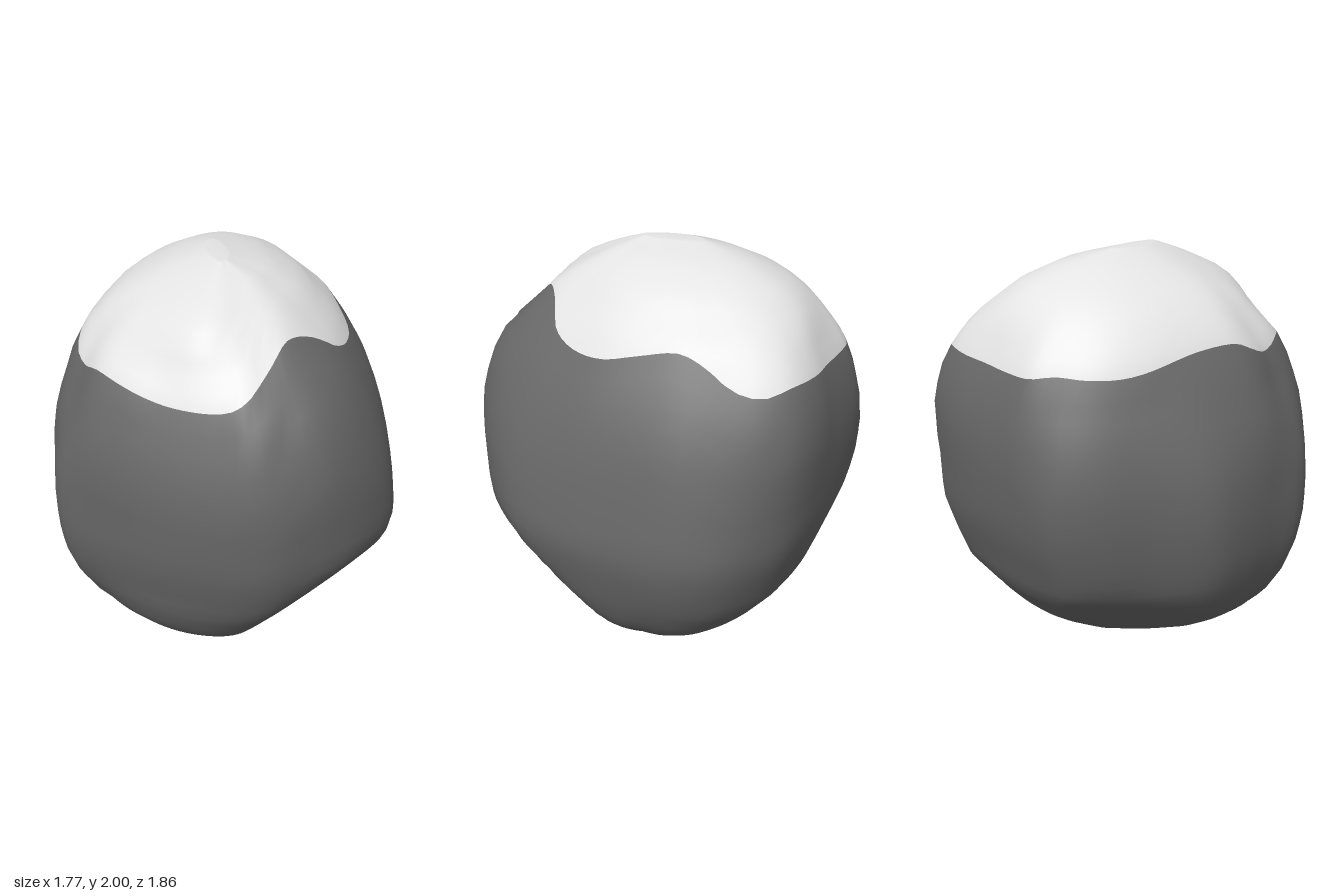
import * as THREE from 'three';

const COLS = 96, ROCK_ROWS = 26, CAP_ROWS = 12;

// Widest plan outline of the boulder: x, z
const girth = [
  [-0.2, -0.94], [-0.28, -0.93], [-0.42, -0.84], [-0.57, -0.67], [-0.78, -0.42], [-0.83, -0.24], [-0.86, 0],
  [-0.88, 0.2], [-0.82, 0.3], [-0.6, 0.56], [-0.42, 0.72], [-0.15, 0.89], [0, 0.93], [0.1, 0.92],
  [0.3, 0.87], [0.49, 0.77], [0.65, 0.62], [0.72, 0.49], [0.78, 0.32], [0.82, 0.16], [0.85, -0.02],
  [0.88, -0.22], [0.87, -0.36], [0.83, -0.49], [0.75, -0.61], [0.59, -0.75], [0.2, -0.88],
];

// Wavy lower edge of the pale cap: x, z, y
const capEdge = [
  [-0.1, -0.84, 1.54], [0.05, -0.82, 1.54], [0.2, -0.79, 1.55], [0.37, -0.76, 1.56], [0.53, -0.68, 1.565],
  [0.61, -0.57, 1.535], [0.62, -0.45, 1.56], [0.59, -0.32, 1.64], [0.57, -0.2, 1.685], [0.57, 0, 1.65],
  [0.56, 0.15, 1.615], [0.5, 0.3, 1.615], [0.4, 0.42, 1.66], [0.25, 0.48, 1.75], [0.12, 0.55, 1.77],
  [0, 0.67, 1.67], [-0.1, 0.73, 1.6], [-0.2, 0.71, 1.55], [-0.4, 0.58, 1.54], [-0.57, 0.42, 1.58],
  [-0.66, 0.27, 1.6], [-0.7, 0.1, 1.56], [-0.715, 0, 1.585], [-0.69, -0.1, 1.63], [-0.6, -0.3, 1.625],
  [-0.45, -0.6, 1.55], [-0.33, -0.72, 1.545], [-0.2, -0.79, 1.555],
];

// Blunt outline of the summit, scaled to -1..1: x, z
const crown = [
  [1, -0.3], [0.85, -0.75], [0.5, -1], [0, -1], [-0.45, -0.8], [-0.8, -0.45], [-1, 0], [-0.9, 0.4],
  [-0.45, 0.98], [0, 1], [0.35, 0.95], [0.65, 0.7], [0.88, 0.43], [1, 0.1],
];

// Extents at each height: y, xMin, xMax, zMin, zMax
const extents = [
  [0, -0.03, 0.2, -0.05, 0.18], [0.02, -0.22, 0.32, -0.15, 0.26], [0.11, -0.45, 0.48, -0.37, 0.43],
  [0.2, -0.59, 0.62, -0.52, 0.61], [0.3, -0.71, 0.71, -0.64, 0.69], [0.46, -0.805, 0.8, -0.78, 0.81],
  [0.62, -0.86, 0.855, -0.84, 0.875], [0.77, -0.88, 0.885, -0.89, 0.92], [0.9, -0.885, 0.87, -0.915, 0.93],
  [1.1, -0.875, 0.835, -0.935, 0.94], [1.28, -0.835, 0.79, -0.925, 0.91], [1.45, -0.765, 0.72, -0.88, 0.84],
  [1.57, -0.72, 0.65, -0.83, 0.77], [1.7, -0.63, 0.56, -0.74, 0.62], [1.8, -0.53, 0.44, -0.65, 0.53],
  [1.87, -0.42, 0.36, -0.55, 0.43], [1.95, -0.24, 0.2, -0.37, 0.27], [2, -0.09, 0, -0.15, 0.13],
];

// Broad worn chips on the underside: unit normal and distance from (0, 1, 0)
const chips = [
  { normal: new THREE.Vector3(0.42, -0.65, 0.64).normalize(), distance: 0.865 },
  { normal: new THREE.Vector3(-0.4, -0.75, -0.5).normalize(), distance: 0.9 },
];
const CHIP_SOFTNESS = 0.04;

const { lerp, smoothstep, clamp } = THREE.MathUtils;

function extentsAt(y) {
  let i = 1;
  while (i < extents.length - 1 && extents[i][0] < y) i++;
  const a = extents[i - 1], b = extents[i];
  const t = clamp((y - a[0]) / (b[0] - a[0]), 0, 1);
  return a.map((value, k) => lerp(value, b[k], t));
}

// Plan position scaled so that the extents become -1 to 1
function normalise(x, z, y, [x0, x1, z0, z1]) {
  const scale = (value, lo, hi) => clamp((2 * (value - lo)) / (hi - lo) - 1, -1, 1);
  return new THREE.Vector3(scale(x, x0, x1), y, scale(z, z0, z1));
}

// Smooth closed outline, resampled at even angles about the vertical axis
function resample(points) {
  const full = Math.PI * 2;
  const wrap = (a) => ((a % full) + full) % full;
  const polar = new THREE.CatmullRomCurve3(points, true).getPoints(400).slice(0, -1)
    .map((p) => ({ a: wrap(Math.atan2(p.z, p.x)), r: Math.hypot(p.x, p.z), y: p.y }))
    .sort((p, q) => p.a - q.a);
  return Array.from({ length: COLS }, (_, col) => {
    const angle = (col / COLS) * full;
    const next = Math.max(0, polar.findIndex((p) => p.a > angle));
    const p = polar[(next + polar.length - 1) % polar.length], q = polar[next];
    const t = wrap(angle - p.a) / Math.max(wrap(q.a - p.a), 1e-6);
    const r = lerp(p.r, q.r, t);
    return new THREE.Vector3(r * Math.cos(angle), lerp(p.y, q.y, t), r * Math.sin(angle));
  });
}

function createBoulderGeometry() {
  const middle = resample(girth.map(([x, z]) => normalise(x, z, 1, [-0.88, 0.88, -0.94, 0.93])));
  const upper = resample(capEdge.map(([x, z, y]) => normalise(x, z, y, extentsAt(y).slice(1))));
  const summit = resample(crown.map(([x, z]) => new THREE.Vector3(x, 0, z)));
  const positions = [], rockFaces = [], capFaces = [];
  const rows = ROCK_ROWS + CAP_ROWS;

  for (let row = 0; row <= rows; row++) {
    for (let col = 0; col < COLS; col++) {
      const edge = upper[col].y;
      const y = row <= ROCK_ROWS
        ? edge * (1 - Math.cos((row / ROCK_ROWS) * Math.PI / 2))
        : edge + (2 - edge) * Math.sin(((row - ROCK_ROWS) / CAP_ROWS) * Math.PI / 2);
      const [, x0, x1, z0, z1] = extentsAt(y);
      const outline = middle[col].clone()
        .lerp(upper[col], smoothstep(y, 0.9, 1.6))
        .lerp(summit[col], smoothstep(y, edge, 1.9))
        .setY(0);
      // The foot is rounder than the girth
      const radius = outline.length();
      outline.setLength(lerp(Math.max(radius, 1), radius, smoothstep(y, 0.15, 0.6)));
      const p = new THREE.Vector3(lerp(x0, x1, (outline.x + 1) / 2), y, lerp(z0, z1, (outline.z + 1) / 2));
      for (const { normal, distance } of chips) {
        const excess = p.dot(normal) - normal.y - distance;
        p.addScaledVector(normal, -(excess + Math.hypot(excess, CHIP_SOFTNESS)) / 2);
      }
      p.y = Math.max(p.y, 0);
      positions.push(p.x, p.y, p.z);
    }
  }
  const bottom = positions.length / 3, top = bottom + 1;
  positions.push(0.09, 0, 0.05, -0.045, 2, -0.01);

  for (let col = 0; col < COLS; col++) {
    const next = (col + 1) % COLS;
    rockFaces.push(bottom, col, next);
    for (let row = 0; row < rows; row++) {
      const a = row * COLS + col, b = row * COLS + next;
      const faces = row < ROCK_ROWS ? rockFaces : capFaces;
      faces.push(a, a + COLS, b, b, a + COLS, b + COLS);
    }
    capFaces.push(rows * COLS + col, top, rows * COLS + next);
  }

  // One skin keeps the shading smooth across the colour edge
  const geometry = new THREE.BufferGeometry();
  geometry.setAttribute('position', new THREE.Float32BufferAttribute(positions, 3));
  geometry.setIndex([...rockFaces, ...capFaces]);
  geometry.addGroup(0, rockFaces.length, 0);
  geometry.addGroup(rockFaces.length, capFaces.length, 1);
  geometry.computeVertexNormals();
  return geometry;
}

export function createModel() {
  const stone = new THREE.MeshStandardMaterial({ color: 0x686868 });
  stone.name = 'dark grey stone';
  const snow = new THREE.MeshStandardMaterial({ color: 0xe4e4e4 });
  snow.name = 'pale snow';

  const boulder = new THREE.Mesh(createBoulderGeometry(), [stone, snow]);
  boulder.name = 'snowCappedBoulder';
  const model = new THREE.Group();
  model.name = 'boulder';
  model.add(boulder);
  return model;
}
